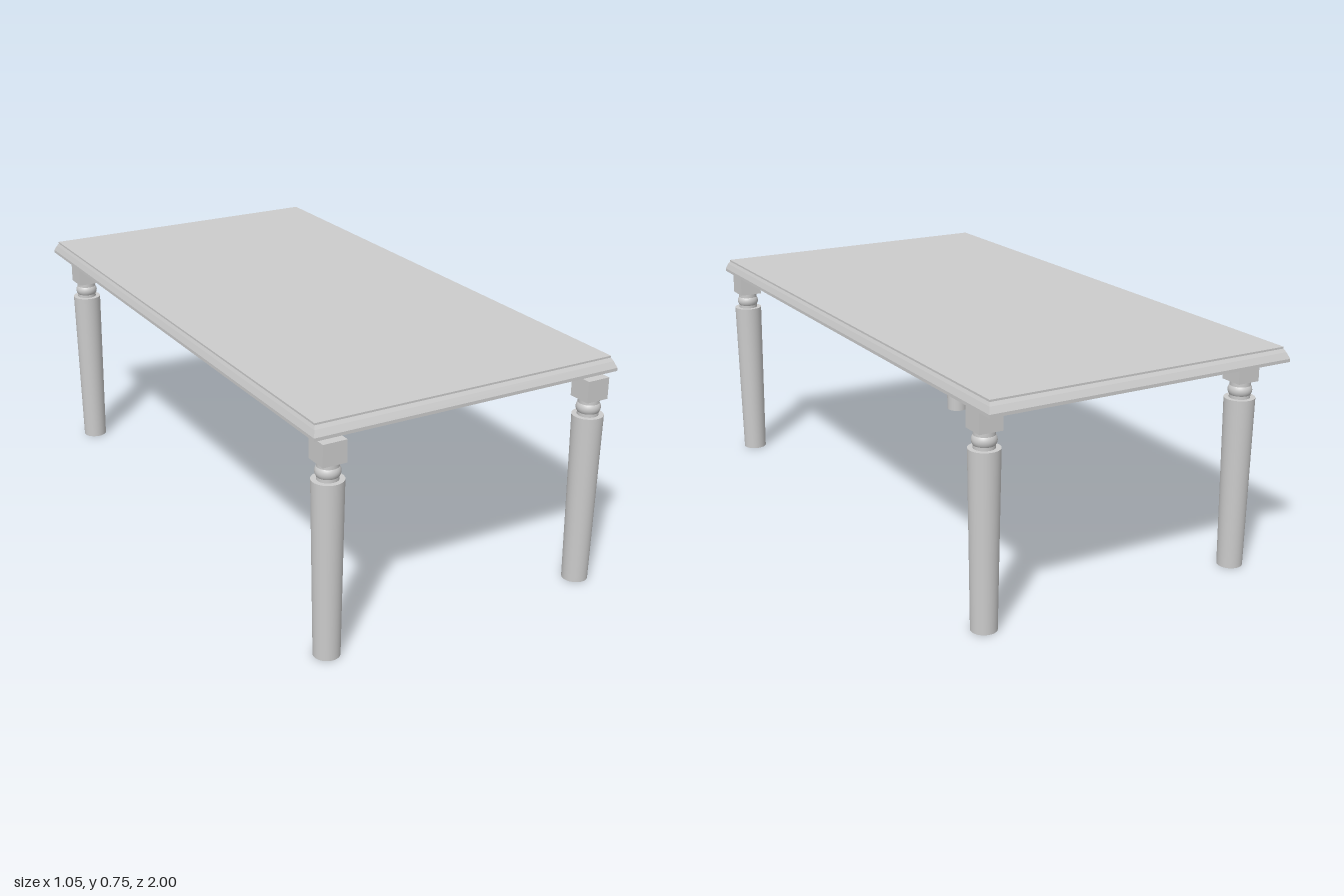
import * as THREE from 'three';

const material = new THREE.MeshStandardMaterial({ color: 0xcccccc });

function add(parent, name, geometry, x = 0, y = 0, z = 0) {
  const mesh = new THREE.Mesh(geometry, material);
  mesh.name = name;
  mesh.position.set(x, y, z);
  parent.add(mesh);
  return mesh;
}

// Rectangular slab with a moulded edge: rings of [height, inset], joined bottom to top
function mouldedSlab(halfX, halfZ, profile, insetZScale) {
  const corners = [[-1, 1], [1, 1], [1, -1], [-1, -1]];
  const rings = profile.map(([y, inset]) => corners.map(([sx, sz]) =>
    [sx * (halfX - inset), y, sz * (halfZ - inset * insetZScale)]));
  const positions = [];
  const quad = (a, b, c, d) => positions.push(...a, ...b, ...c, ...a, ...c, ...d);
  for (let r = 0; r < rings.length - 1; r++) {
    for (let i = 0; i < 4; i++) {
      const j = (i + 1) % 4;
      quad(rings[r][i], rings[r][j], rings[r + 1][j], rings[r + 1][i]);
    }
  }
  quad(...rings[rings.length - 1]);
  quad(...[...rings[0]].reverse());
  const geometry = new THREE.BufferGeometry();
  geometry.setAttribute('position', new THREE.Float32BufferAttribute(positions, 3));
  geometry.computeVertexNormals();
  return geometry;
}

// Turned leg: tapered post, flattened ball, short neck and square block
function createLeg() {
  const leg = new THREE.Group();
  add(leg, 'legPost', new THREE.CylinderGeometry(0.049, 0.041, 0.567, 32), 0, 0.2835, 0);
  const ball = add(leg, 'legBall', new THREE.SphereGeometry(0.038, 32, 20), 0, 0.592, 0);
  ball.scale.y = 0.8;
  add(leg, 'legNeck', new THREE.CylinderGeometry(0.033, 0.033, 0.055, 32), 0, 0.5945, 0);
  add(leg, 'legBlock', new THREE.BoxGeometry(0.078, 0.07, 0.078), 0, 0.657, 0);
  return leg;
}

export function createModel() {
  const table = new THREE.Group();
  table.name = 'table';

  // Top with chamfered underside and stepped upper edge
  const edge = [[0.69, 0.03], [0.707, 0], [0.717, 0], [0.736, 0.007], [0.746, 0.012], [0.752, 0.012]];
  add(table, 'tableTop', mouldedSlab(0.526, 0.995, edge, 1.6), 0, 0, -0.005);

  // Legs, the back pair set further in
  for (const [end, z] of [['front', 0.951], ['back', -0.857]]) {
    for (const [side, x] of [['Left', 0.458], ['Right', -0.46]]) {
      const leg = createLeg();
      leg.name = `${end}${side}Leg`;
      leg.position.set(x, 0, z);
      table.add(leg);
    }
  }
  return table;
}
